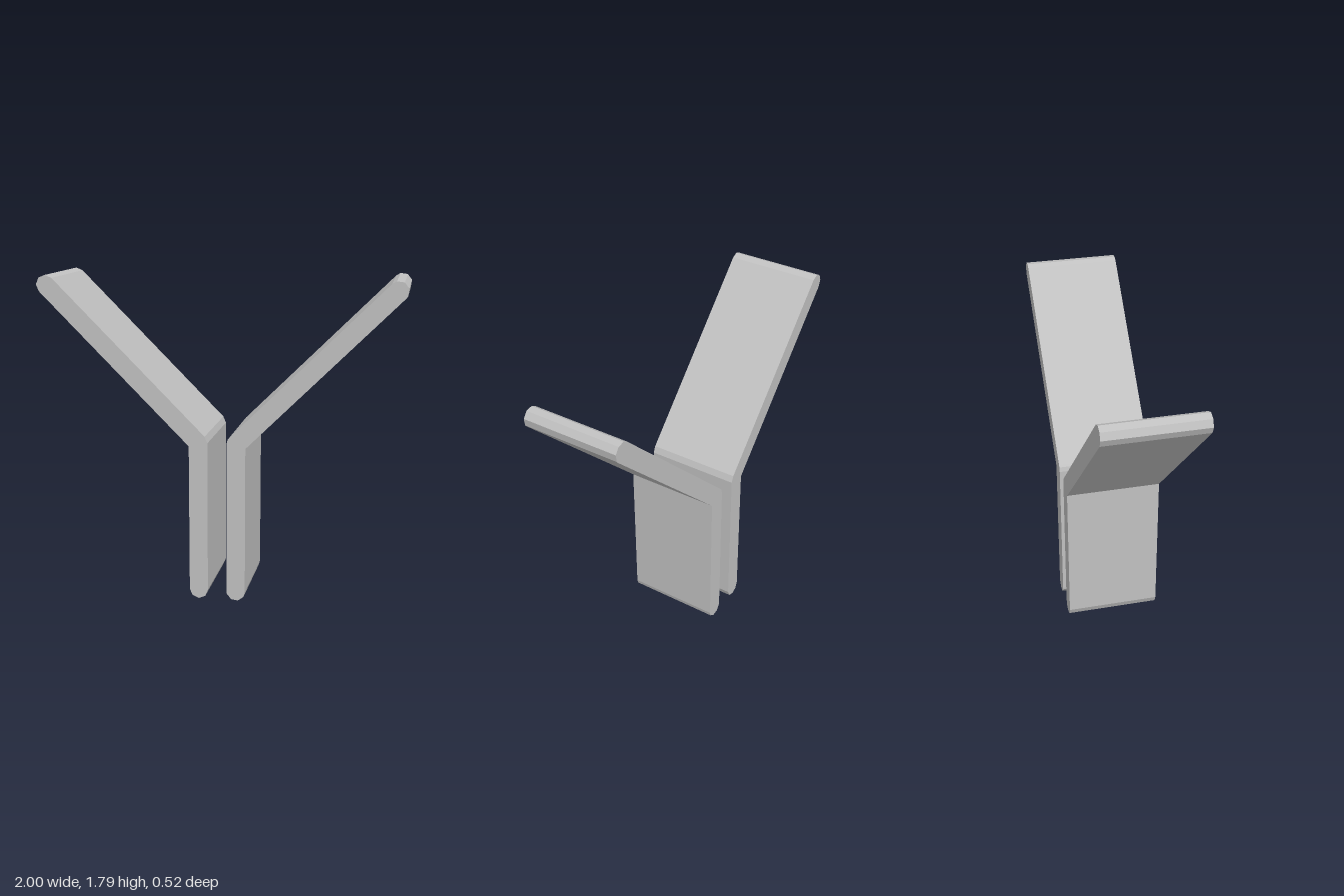
import * as THREE from 'three';

const RADIUS = 0.052;   // half the plate thickness
const DEPTH = 0.525;
const LEG_X = 0.105;    // centre line of the upright leg
const BEND_Y = 0.9;
const TIP = [0.948, 1.743];

// Points on a coarse arc, angles in degrees
const arc = (cx, cy, angles) => angles.map((a) => {
  const t = THREE.MathUtils.degToRad(a);
  return new THREE.Vector2(cx + RADIUS * Math.cos(t), cy + RADIUS * Math.sin(t));
});

// Bent plate: rounded foot, upright leg, 45 degree bend, sloping arm, rounded tip
function bentPlate(name, side, caps, material) {
  const points = [
    ...arc(LEG_X, RADIUS, caps.foot),
    new THREE.Vector2(LEG_X + RADIUS, BEND_Y - RADIUS * Math.tan(Math.PI / 8)),
    ...arc(TIP[0], TIP[1], caps.tip),
    ...arc(LEG_X, BEND_Y, caps.bend),
  ];
  for (const p of points) p.x *= side;
  const geometry = new THREE.ExtrudeGeometry(new THREE.Shape(points), {
    depth: DEPTH, bevelEnabled: false, steps: 1,
  });
  geometry.translate(0, 0, -DEPTH / 2);
  const mesh = new THREE.Mesh(geometry, material);
  mesh.name = name;
  return mesh;
}

export function createModel() {
  const grey = new THREE.MeshStandardMaterial({ color: 0xc0c0c0, flatShading: true });
  grey.name = 'light grey';

  const group = new THREE.Group();
  group.name = 'splitPlates';

  // The facets of the two plates' rounded ends are turned differently
  group.add(bentPlate('leftPlate', 1, {
    foot: [-180, -165, -120, -75, -30, 0],
    tip: [-45, -30, 15, 60, 105, 135],
    bend: [135, 150, 180],
  }, grey));
  group.add(bentPlate('rightPlate', -1, {
    foot: [-180, -135, -90, -45, 0],
    tip: [-45, 0, 45, 90, 135],
    bend: [135, 180],
  }, grey));
  return group;
}
